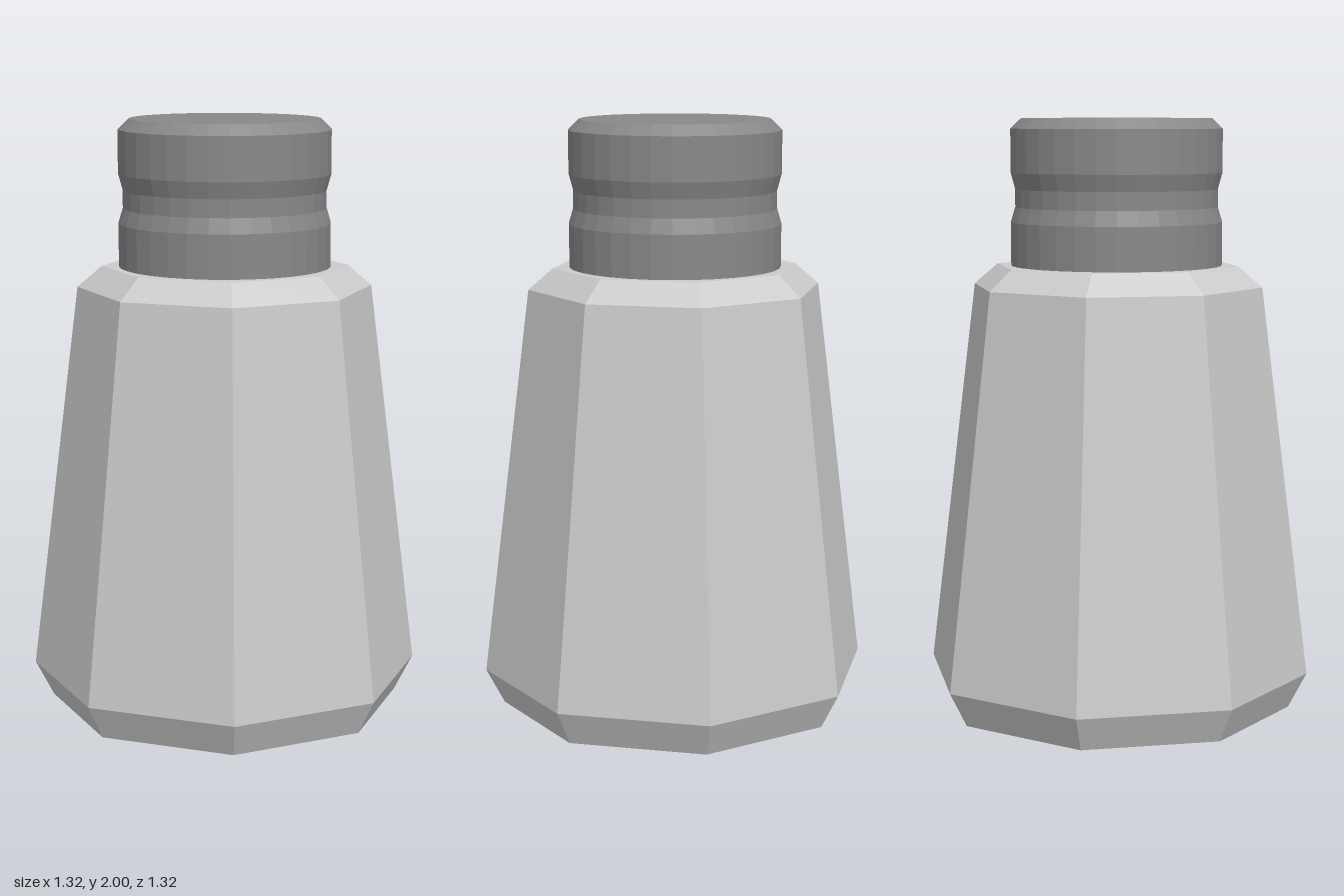
import * as THREE from 'three';

// Closed faceted solid of revolution from [radius, height] pairs, bottom to top
function turned(name, profile, sides, color) {
  const points = profile.map(([r, y]) => new THREE.Vector2(r, y));
  const material = new THREE.MeshStandardMaterial({ color, flatShading: true });
  const mesh = new THREE.Mesh(new THREE.LatheGeometry(points, sides), material);
  mesh.name = name;
  return mesh;
}

export function createModel() {
  const group = new THREE.Group();
  group.name = 'shaker';

  // Tapered octagonal body with bevelled foot and shoulder
  group.add(turned('body', [
    [0, 0], [0.6, 0], [0.662, 0.12], [0.496, 1.44], [0.414, 1.51], [0, 1.51],
  ], 8, 0xcccccc));

  // Round cap with a shallow waist and bevelled rim
  group.add(turned('cap', [
    [0, 1.5], [0.356, 1.5], [0.356, 1.655], [0.341, 1.705], [0.341, 1.765],
    [0.356, 1.82], [0.356, 1.965], [0.32, 2], [0, 2],
  ], 32, 0x888888));

  return group;
}
